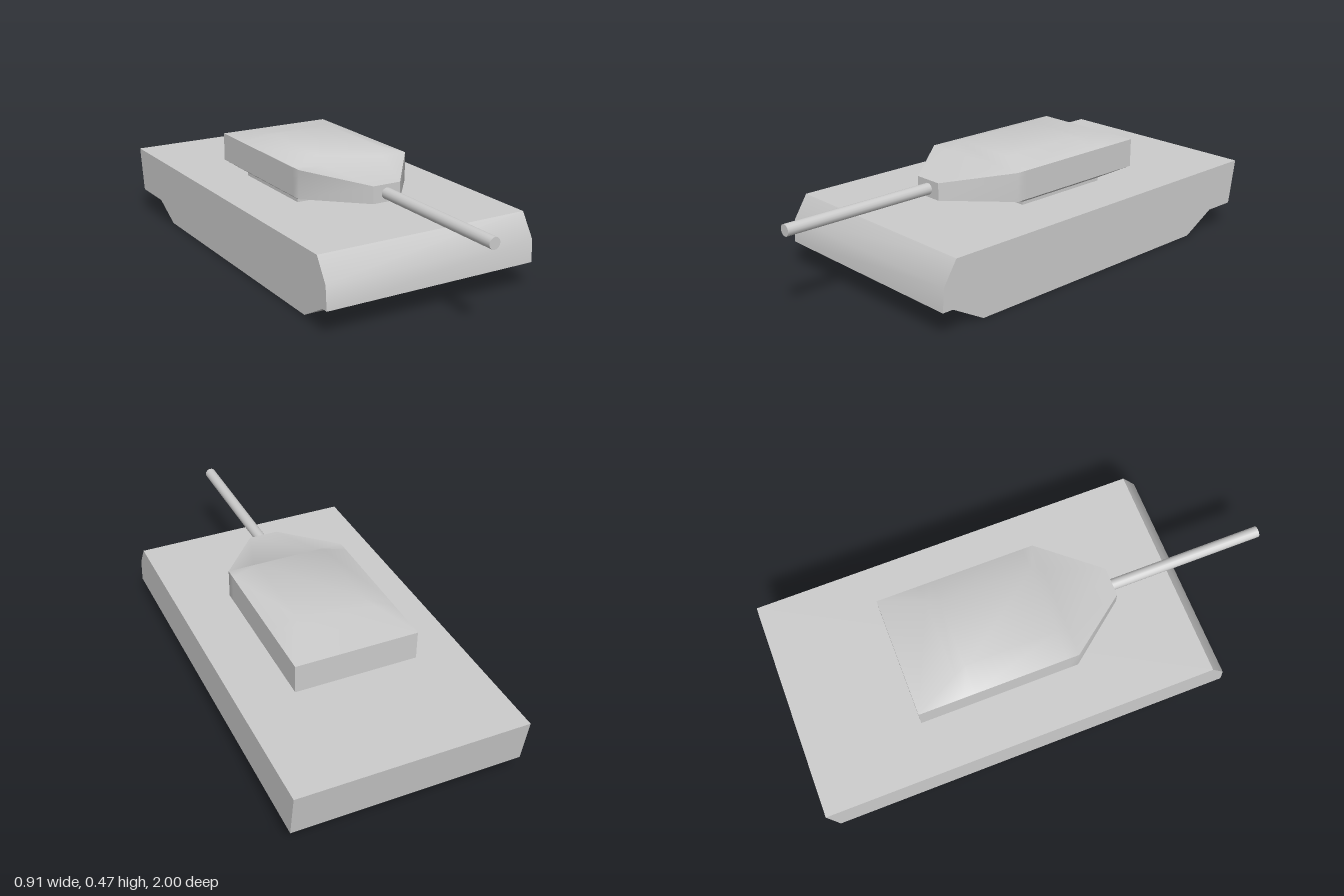
import * as THREE from 'three';
import { toCreasedNormals } from 'three/addons/utils/BufferGeometryUtils.js';

const CREASE = 0.7;
const material = new THREE.MeshStandardMaterial({ color: 0xcccccc });

function part(name, geometry) {
  const mesh = new THREE.Mesh(geometry, material);
  mesh.name = name;
  return mesh;
}

// Side profile of [z, y] points, extruded across the full width.
function slab(profile, halfWidth) {
  const shape = new THREE.Shape(profile.map(([z, y]) => new THREE.Vector2(z, y)));
  const g = new THREE.ExtrudeGeometry(shape, { depth: halfWidth * 2, bevelEnabled: false });
  g.rotateY(-Math.PI / 2).translate(halfWidth, 0, 0);
  return toCreasedNormals(g, CREASE);
}

// Joins equal-sized closed loops (counter-clockwise seen from +z, front to back) and caps the ends.
function loft(loops) {
  const pos = [];
  const tri = (a, b, c) => {
    const area = new THREE.Triangle(a, b, c).getArea();
    if (area > 1e-7) for (const p of [a, b, c]) pos.push(p.x, p.y, p.z);
  };
  const n = loops[0].length;
  for (let i = 0; i < loops.length - 1; i++) {
    const A = loops[i], B = loops[i + 1];
    for (let j = 0; j < n; j++) {
      const k = (j + 1) % n;
      tri(A[j], B[j], B[k]);
      tri(A[j], B[k], A[k]);
    }
  }
  const first = loops[0], last = loops[loops.length - 1];
  for (let j = 1; j < n - 1; j++) {
    tri(first[0], first[j], first[j + 1]);
    tri(last[0], last[j + 1], last[j]);
  }
  const g = new THREE.BufferGeometry();
  g.setAttribute('position', new THREE.Float32BufferAttribute(pos, 3));
  g.computeVertexNormals();
  return toCreasedNormals(g, CREASE);
}

// Eight-sided turret section, mirrored left to right.
function section([z, floorW, floorY, sideW, lowY, highY, roofW, roofY]) {
  const half = [[floorW, floorY], [sideW, lowY], [sideW, highY], [roofW, roofY]];
  const right = half.map(([x, y]) => new THREE.Vector3(x, y, z));
  const left = half.map(([x, y]) => new THREE.Vector3(-x, y, z)).reverse();
  return [...right, ...left];
}

export function createModel() {
  const model = new THREE.Group();
  model.name = 'tank';

  // Hull: wide upper body over a narrower running-gear block
  model.add(part('upperHull', slab(
    [[-0.97, 0.105], [0.675, 0.105], [0.668, 0.2], [0.61, 0.292], [-1, 0.292]], 0.455)));
  model.add(part('lowerHull', slab(
    [[-0.74, 0], [0.45, 0], [0.645, 0.108], [-0.94, 0.108]], 0.416)));

  // Turret: tapered nose, sloped roof edges, undercut floor
  const turret = new THREE.Group();
  turret.name = 'turret';
  const sections = [
    [0.355, 0.06, 0.335, 0.06, 0.335, 0.405, 0.06, 0.405],
    [0.115, 0.227, 0.32, 0.247, 0.32, 0.437, 0.14, 0.437],
    [0.07, 0.227, 0.305, 0.247, 0.32, 0.437, 0.14, 0.47],
    [-0.31, 0.227, 0.305, 0.247, 0.32, 0.437, 0.14, 0.47],
    [-0.36, 0.227, 0.305, 0.247, 0.32, 0.437, 0.163, 0.463],
    [-0.54, 0.247, 0.32, 0.247, 0.32, 0.437, 0.247, 0.437],
  ];
  turret.add(part('turretBody', loft(sections.map(section))));

  const base = part('turretBase', new THREE.BoxGeometry(0.454, 0.02, 0.43));
  base.position.set(0, 0.297, -0.145);
  turret.add(base);

  // Gun barrel
  const barrel = part('gunBarrel', new THREE.CylinderGeometry(0.023, 0.023, 0.7, 16));
  barrel.rotation.x = Math.PI / 2;
  barrel.position.set(0, 0.369, 0.65);
  turret.add(barrel);

  model.add(turret);
  return model;
}
